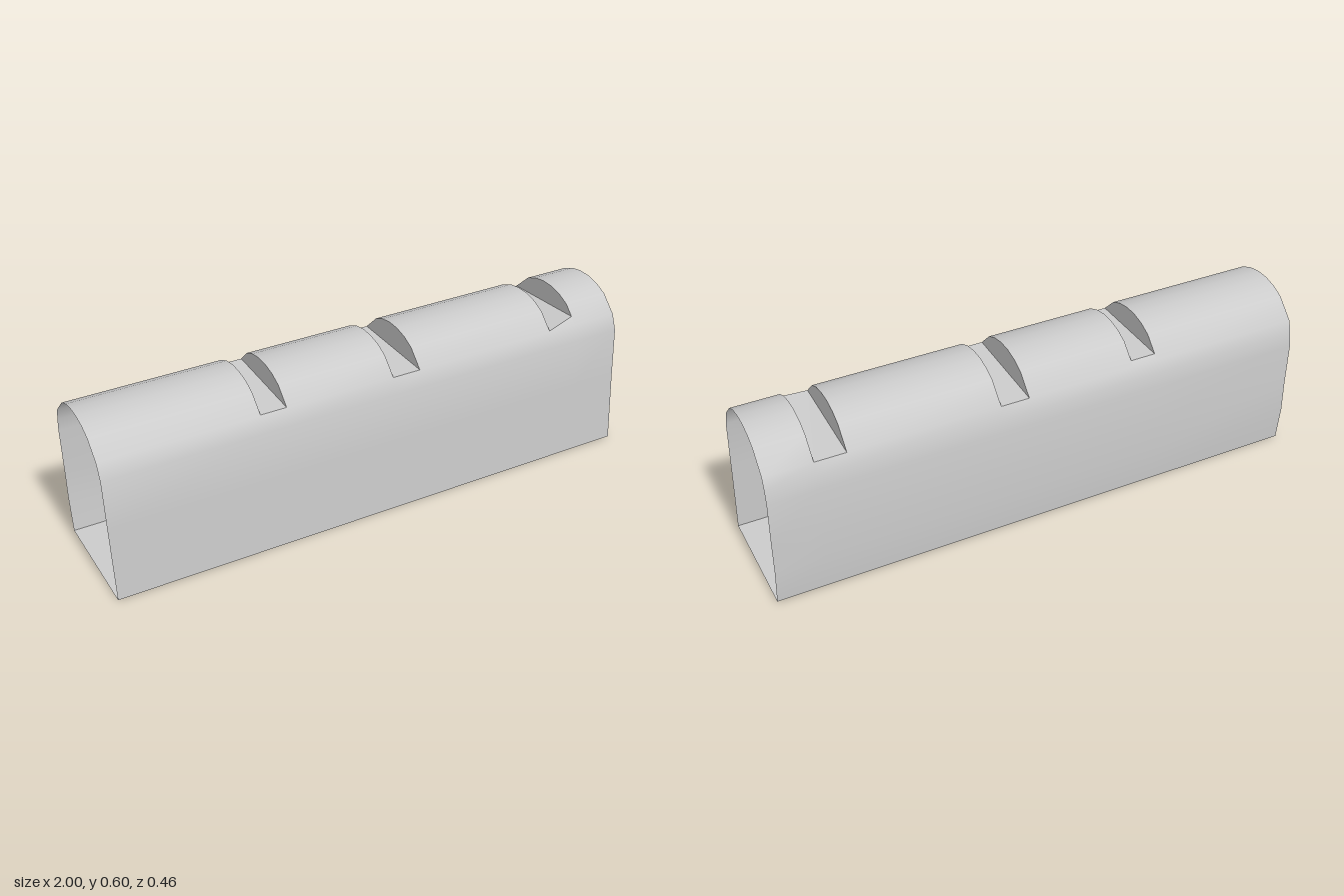
import * as THREE from 'three';
import { mergeGeometries, toCreasedNormals } from 'three/addons/utils/BufferGeometryUtils.js';

// Arch outline as [z, y], from the front foot over the crown to the back foot
const FRONT = [[0.219, 0], [0.206, 0.27], [0.2, 0.455], [0.179, 0.512]];
const ROOF = [[0.12, 0.57], [0.075, 0.59], [0.025, 0.6], [-0.025, 0.6], [-0.075, 0.59], [-0.121, 0.57]];
const BACK = [[-0.191, 0.505], [-0.205, 0.46], [-0.214, 0.41], [-0.214, 0.25], [-0.219, 0.13], [-0.208, 0]];

// Roof notches: x range, and how far up the first roof facet each end
// of the cut lies (front at x0, front at x1, back)
const NOTCHES = [
  { x0: -0.436, x1: -0.341, front: [0.04, 0.04], back: 0.25 },
  { x0: 0.064, x1: 0.169, front: [0, 0], back: 0 },
  { x0: 0.717, x1: 0.828, front: [0.05, 0.4], back: 0 },
];

const mix = (a, b, t) => [a[0] + (b[0] - a[0]) * t, a[1] + (b[1] - a[1]) * t];

// Place an outline point at a station along the tunnel, with its slight skew
const place = (x, [z, y]) => [x * 0.995 + 0.005 - (0.01 * y) / 0.6, y, z - 0.009 * x];

function fromTriangles(triangles) {
  const geometry = new THREE.BufferGeometry();
  geometry.setAttribute('position', new THREE.Float32BufferAttribute(triangles.flat(2), 3));
  geometry.computeVertexNormals();
  return geometry;
}

// Skin between two matching open outlines
function loft(x0, outline0, x1, outline1) {
  const triangles = [];
  for (let i = 0; i < outline0.length - 1; i++) {
    const a = place(x0, outline0[i]);
    const b = place(x1, outline1[i]);
    const c = place(x1, outline1[i + 1]);
    const d = place(x0, outline0[i + 1]);
    triangles.push([a, b, c], [a, c, d]);
  }
  return fromTriangles(triangles);
}

// Flat convex cross wall
function fan(x, outline) {
  const p = outline.map((point) => place(x, point));
  const triangles = [];
  for (let i = 1; i < p.length - 1; i++) triangles.push([p[0], p[i], p[i + 1]]);
  return fromTriangles(triangles);
}

export function createModel() {
  const group = new THREE.Group();
  const material = new THREE.MeshStandardMaterial({ color: 0xcccccc, side: THREE.DoubleSide });
  const add = (name, geometry) => {
    const mesh = new THREE.Mesh(geometry, material);
    mesh.name = name;
    group.add(mesh);
  };

  const arch = [...FRONT, ...ROOF, ...BACK];
  const shell = [];
  let start = -1;

  for (const { x0, x1, front, back } of NOTCHES) {
    // Full arch up to the notch
    shell.push(loft(start, arch, x0, arch));
    start = x1;

    const cutFront = front.map((t) => mix(FRONT.at(-1), ROOF[0], t));
    const cutBack = mix(BACK[0], ROOF.at(-1), back);

    // Side walls continuing below the notch
    shell.push(loft(x0, [...FRONT, cutFront[0]], x1, [...FRONT, cutFront[1]]));
    shell.push(loft(x0, [cutBack, ...BACK], x1, [cutBack, ...BACK]));

    // Notch bottom and its two cross walls
    add('notchFloor', loft(x0, [cutFront[0], cutBack], x1, [cutFront[1], cutBack]));
    [x0, x1].forEach((x, i) => add('notchWall', fan(x, [cutFront[i], ...ROOF, cutBack])));
  }
  shell.push(loft(start, arch, 1, arch));

  add('archShell', toCreasedNormals(mergeGeometries(shell), 0.9));

  // Base of the tunnel
  const base = [BACK.at(-1), FRONT[0]];
  add('baseFloor', loft(-1, base, 1, base));

  return group;
}
